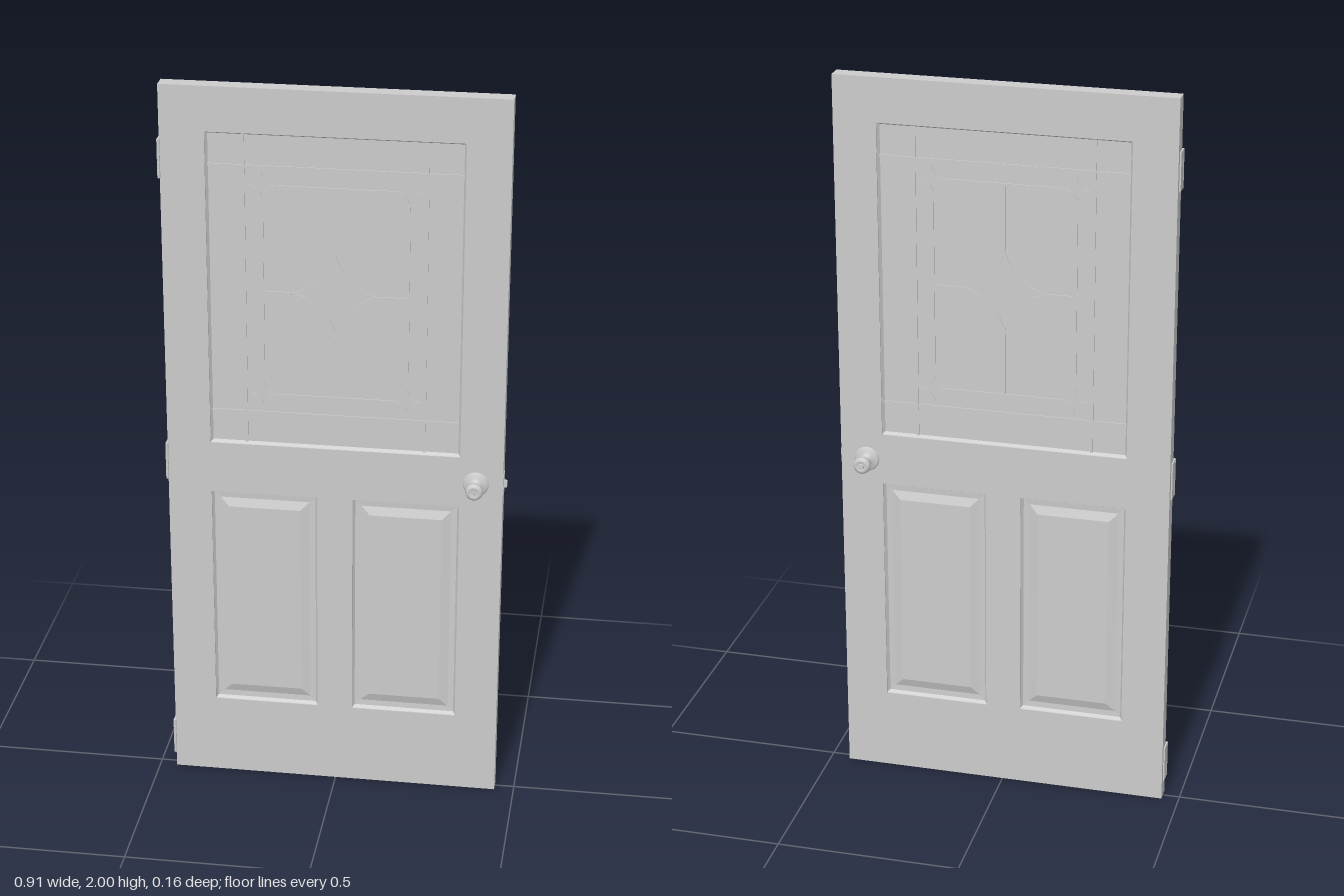
import * as THREE from 'three';

const mat = new THREE.MeshStandardMaterial({ color: 0xcccccc, side: THREE.DoubleSide });
const ZC = 0.001; // middle of the door's thickness
const T = 0.043;  // door thickness

function add(parent, geometry, name, x = 0, y = 0, z = 0) {
  const mesh = new THREE.Mesh(geometry, mat);
  mesh.name = name;
  mesh.position.set(x, y, z);
  parent.add(mesh);
  return mesh;
}

const box = (w, h, d) => new THREE.BoxGeometry(w, h, d);

function rect(Type, x0, x1, y0, y1) {
  const p = new Type();
  p.moveTo(x0, y0);
  p.lineTo(x1, y0);
  p.lineTo(x1, y1);
  p.lineTo(x0, y1);
  p.closePath();
  return p;
}

// Four-pointed star with sides that curve inwards
function star(Type, r) {
  const p = new Type();
  const c = r * 0.24;
  p.moveTo(r, 0);
  p.quadraticCurveTo(c, c, 0, r);
  p.quadraticCurveTo(-c, c, -r, 0);
  p.quadraticCurveTo(-c, -c, 0, -r);
  p.quadraticCurveTo(c, -c, r, 0);
  return p;
}

function starRing(r, width, depth) {
  const shape = star(THREE.Shape, r);
  shape.holes.push(star(THREE.Path, r - width));
  return new THREE.ExtrudeGeometry(shape, { depth, bevelEnabled: false, curveSegments: 12 })
    .translate(0, 0, -depth / 2);
}

// Rectangular rings joined from the outside in, each [inset, height], closed by a flat field
function steppedPanel(w, h, rings) {
  const pos = [];
  const corners = ([i, z]) => {
    const a = w / 2 - i, b = h / 2 - i;
    return [[-a, -b, z], [a, -b, z], [a, b, z], [-a, b, z]];
  };
  const quad = (a, b, c, d) => pos.push(...a, ...b, ...c, ...a, ...c, ...d);
  for (let k = 0; k < rings.length - 1; k++) {
    const o = corners(rings[k]), n = corners(rings[k + 1]);
    for (let i = 0; i < 4; i++) quad(o[i], o[(i + 1) % 4], n[(i + 1) % 4], n[i]);
  }
  quad(...corners(rings[rings.length - 1]));
  const g = new THREE.BufferGeometry();
  g.setAttribute('position', new THREE.Float32BufferAttribute(pos, 3));
  g.computeVertexNormals();
  return g;
}

export function createModel() {
  const door = new THREE.Group();
  door.name = 'door';

  // Slab with one window opening and two lower openings
  const openings = [
    [-0.336, 0.332, 1.014, 1.88],
    [-0.336, -0.05, 0.228, 0.87],
    [0.046, 0.332, 0.228, 0.87],
  ];
  const outline = rect(THREE.Shape, -0.453, 0.447, 0, 2);
  for (const o of openings) outline.holes.push(rect(THREE.Path, ...o));
  const slab = new THREE.ExtrudeGeometry(outline, { depth: T, bevelEnabled: false });
  add(door, slab, 'doorSlab', 0, 0, ZC - T / 2);

  // Infill on both faces: small moulding, then flat glass or a raised field
  openings.forEach(([x0, x1, y0, y1], n) => {
    const rings = n === 0
      ? [[0, 0.018], [0.006, 0.009]]
      : [[0, 0.018], [0.006, 0.009], [0.022, 0.008], [0.046, 0.016]];
    for (const side of [1, -1]) {
      const panel = add(door, steppedPanel(x1 - x0, y1 - y0, rings),
        n === 0 ? 'windowPane' : 'raisedPanel', (x0 + x1) / 2, (y0 + y1) / 2, ZC);
      if (side < 0) panel.rotation.y = Math.PI;
    }
  });

  // Leaded pattern, showing on both sides of the glass
  const lead = new THREE.Group();
  lead.name = 'leadedPattern';
  lead.position.set(-0.002, 1.448, ZC);
  door.add(lead);
  const D = 0.024, W = 0.007;
  const X = 0.19, Y = 0.29, R = 0.036, S = 0.115;
  for (const s of [1, -1]) {
    add(lead, box(W, 0.862, D), 'borderBar', s * 0.237);
    add(lead, box(0.664, W, D), 'borderBar', 0, s * 0.342);
    add(lead, box(W, 2 * (Y - R), D), 'innerBar', s * X);
    add(lead, box(2 * (X - R), W, D), 'innerBar', 0, s * Y);
    add(lead, box(W, Y - S, D), 'centreBar', 0, s * (Y + S) / 2);
    add(lead, box(X - S, W, D), 'centreBar', s * (X + S) / 2);
    for (const t of [1, -1]) add(lead, starRing(R, 0.01, D + 0.001), 'cornerStar', s * X, t * Y);
  }
  add(lead, starRing(S, 0.014, D + 0.001), 'centreStar');

  // Round knob with rosette on each face
  const profile = [
    [0.034, 0], [0.034, 0.004], [0.03, 0.007], [0.02, 0.009], [0.013, 0.013],
    [0.011, 0.018], [0.012, 0.022], [0.017, 0.03], [0.021, 0.039], [0.0235, 0.048],
    [0.022, 0.054], [0.017, 0.058], [0.012, 0.058], [0.011, 0.056], [0, 0.056],
  ].map(([r, z]) => new THREE.Vector2(r, z));
  for (const side of [1, -1]) {
    const knob = new THREE.Group();
    knob.name = side > 0 ? 'frontKnob' : 'backKnob';
    knob.position.set(0.375, 0.94, ZC + side * T / 2);
    knob.rotation.x = side * Math.PI / 2;
    door.add(knob);
    add(knob, new THREE.LatheGeometry(profile, 32), 'knobBody');
    if (side > 0) add(knob, box(0.003, 0.003, 0.012), 'keySlot', 0, 0.056, 0);
    else add(knob, new THREE.CylinderGeometry(0.007, 0.008, 0.006, 20), 'lockButton', 0, 0.058, 0);
  }

  // Latch on the free edge
  add(door, box(0.003, 0.06, 0.026), 'latchPlate', 0.447, 0.94, ZC);
  const bolt = new THREE.Shape();
  bolt.moveTo(0, -0.007);
  bolt.lineTo(0.012, 0.003);
  bolt.lineTo(0.012, 0.007);
  bolt.lineTo(0, 0.007);
  const boltGeo = new THREE.ExtrudeGeometry(bolt, { depth: 0.02, bevelEnabled: false });
  boltGeo.translate(0, 0, -0.01).rotateX(Math.PI / 2);
  add(door, boltGeo, 'latchBolt', 0.445, 0.94, 0.004);

  // Three hinges on the other edge
  for (const y of [0.1, 0.955, 1.805]) {
    const hinge = new THREE.Group();
    hinge.name = 'hinge';
    hinge.position.set(-0.453, y, 0);
    door.add(hinge);
    add(hinge, box(0.004, 0.104, 0.036), 'hingeLeaf', -0.002, 0, 0.012);
    for (let i = -2; i <= 2; i++) {
      add(hinge, new THREE.CylinderGeometry(0.004, 0.004, 0.02, 16), 'hingeKnuckle', -0.001, i * 0.021, 0.029);
    }
  }
  return door;
}
